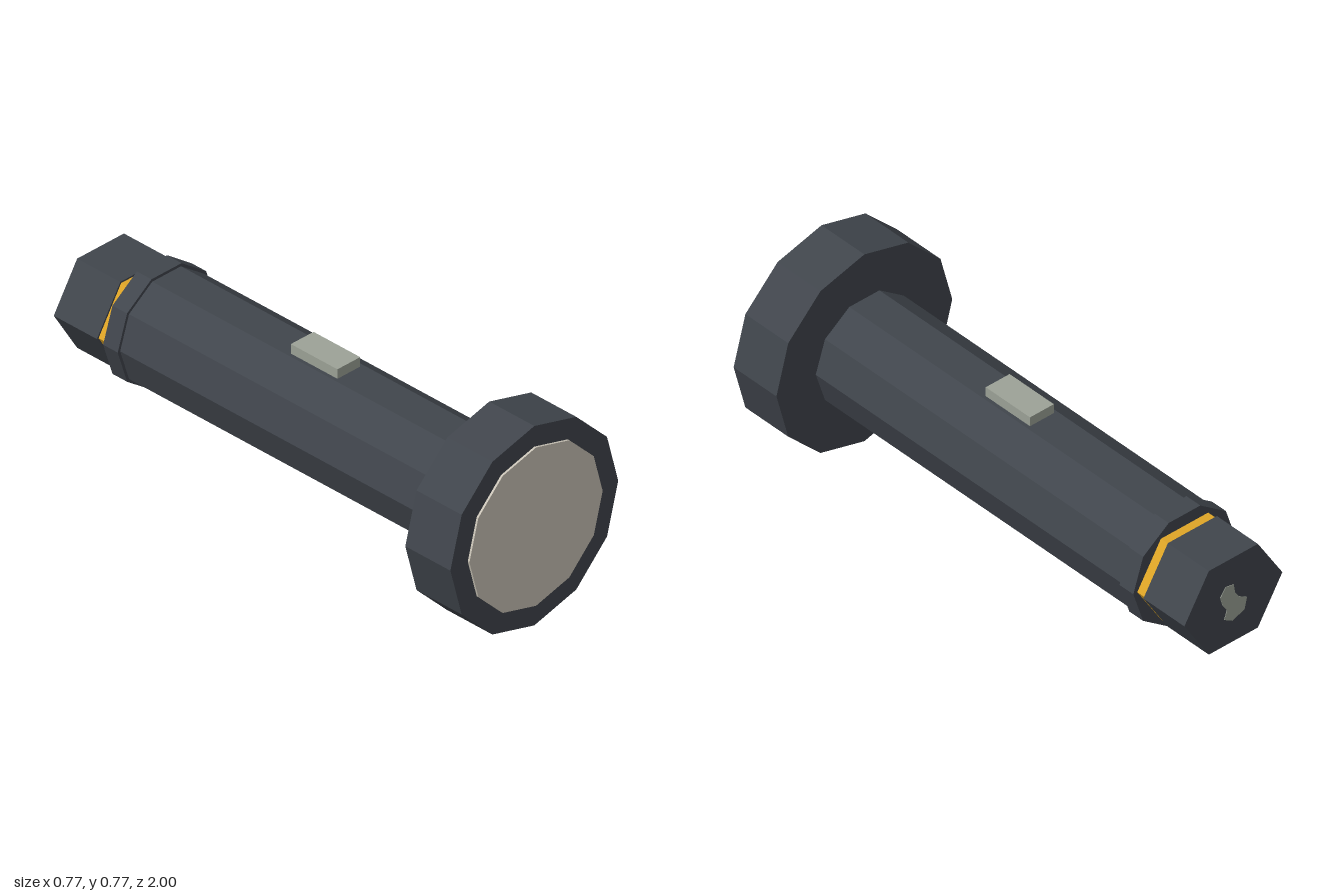
import * as THREE from 'three';

const AXIS_Y = 0.383;

const material = (name, color, extra = {}) => {
  const m = new THREE.MeshStandardMaterial({ color, flatShading: true, ...extra });
  m.name = name;
  return m;
};

export function createModel() {
  const group = new THREE.Group();
  group.name = 'flashlight';
  const casing = material('dark casing', 0x40454c);
  const glass = material('pale lens', 0xcac4b7);
  const brass = material('yellow ring', 0xdfa526);
  const grey = material('grey button', 0x9ca297);

  const add = (name, geometry, mat) => {
    const mesh = new THREE.Mesh(geometry, mat);
    mesh.name = name;
    group.add(mesh);
    return mesh;
  };

  // Faceted section along z with a corner at +x
  const section = (name, radius, sides, back, front, mat, squash = 1) => {
    const g = new THREE.CylinderGeometry(radius, radius, front - back, sides, 1, false, Math.PI / 2);
    g.rotateX(Math.PI / 2);
    g.scale(1, squash, 1);
    g.translate(0, AXIS_Y, (back + front) / 2);
    return add(name, g, mat);
  };

  // Head and lens
  section('head', 0.383, 12, 0.785, 0.992, casing);
  section('lens', 0.304, 12, 0.98, 1, glass);

  // Handle, collar, ring and slightly flattened tail cap
  section('handle', 0.212, 10, -0.7, 0.79, casing);
  section('collar', 0.223, 10, -0.762, -0.695, casing);
  section('tailRing', 0.206, 6, -0.81, -0.755, brass, 0.927);
  section('tailCap', 0.2135, 6, -0.998, -0.8, casing, 0.927);

  // Switch on top of the handle
  const button = new THREE.BoxGeometry(0.104, 0.06, 0.214);
  button.translate(0, 0.591, 0.034);
  add('switchButton', button, grey);

  // Worn patch on the tail cap
  const outline = [
    [0.058, 0.035], [0.035, 0.068], [0, 0.062], [-0.006, 0.027], [-0.023, 0.001], [-0.058, -0.02],
    [-0.047, -0.064], [0.006, -0.084], [0.041, -0.063], [0.029, -0.029], [0.047, -0.003],
  ].map(([x, y]) => new THREE.Vector2(x, y));
  const patch = new THREE.ExtrudeGeometry(new THREE.Shape(outline), { depth: 0.004, bevelEnabled: false });
  patch.translate(0, AXIS_Y, -1);
  add('tailPatch', patch, grey);

  return group;
}
